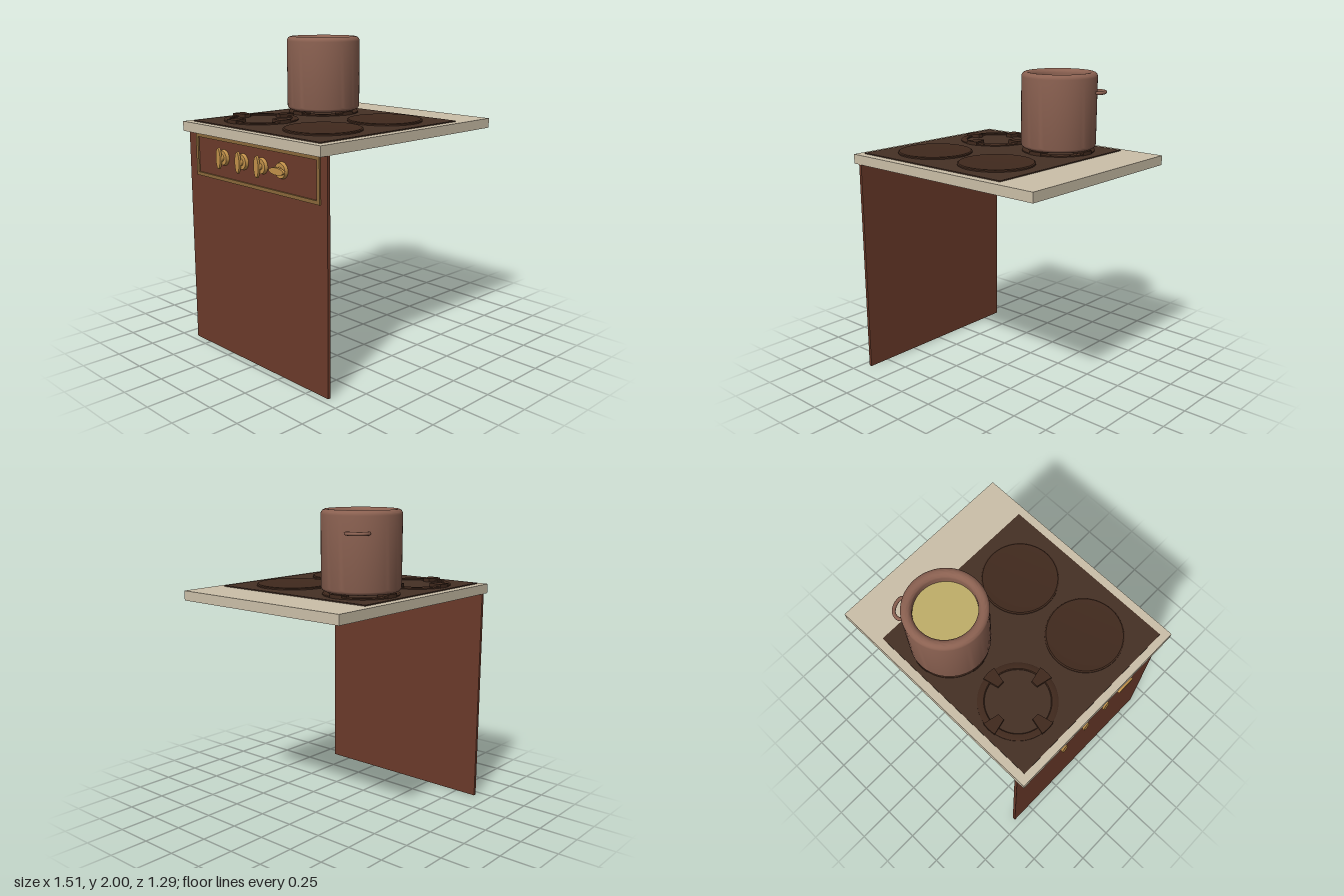
import * as THREE from 'three';
import { toCreasedNormals } from 'three/addons/utils/BufferGeometryUtils.js';

const mat = (color, side = THREE.FrontSide) => new THREE.MeshStandardMaterial({ color, side });
const WOOD = mat(0x6b3a2a), STONE = mat(0xcbbfa8), GLASS = mat(0x453025), IRON = mat(0x40291d);
const CLAY = mat(0x8b6151), SOUP = mat(0xbfae69), GOLD = mat(0xc2914a), TRIM = mat(0x8a683a);

function add(parent, name, geometry, material, x = 0, y = 0, z = 0) {
  const mesh = new THREE.Mesh(geometry, material);
  mesh.name = name;
  mesh.position.set(x, y, z);
  parent.add(mesh);
  return mesh;
}

function group(parent, name, x, y, z) {
  const g = new THREE.Group();
  g.name = name;
  g.position.set(x, y, z);
  parent.add(g);
  return g;
}

// Box given by its lower and upper corners
function box(parent, name, material, [x0, y0, z0], [x1, y1, z1]) {
  return add(parent, name, new THREE.BoxGeometry(x1 - x0, y1 - y0, z1 - z0), material,
    (x0 + x1) / 2, (y0 + y1) / 2, (z0 + z1) / 2);
}

function lathe(points, segments = 64) {
  const profile = points.map(([r, y]) => new THREE.Vector2(r, y));
  return toCreasedNormals(new THREE.LatheGeometry(profile, segments), 0.6);
}

// Gas ring: flat collar with four tapered pan supports
function addGasBurner(parent, x, z) {
  const g = group(parent, 'gasBurner', x, 1.488, z);
  add(g, 'burnerRing', lathe([[0.195, 0], [0.238, 0], [0.238, 0.008], [0.232, 0.012],
    [0.2, 0.012], [0.195, 0.008], [0.195, 0]]), IRON);
  const tab = new THREE.Shape();
  tab.moveTo(0.14, -0.022);
  tab.lineTo(0.238, -0.045);
  tab.quadraticCurveTo(0.246, 0, 0.238, 0.045);
  tab.lineTo(0.14, 0.022);
  tab.closePath();
  const geometry = new THREE.ExtrudeGeometry(tab, { depth: 0.024, bevelEnabled: false });
  geometry.rotateX(-Math.PI / 2);
  for (let i = 0; i < 4; i++) add(g, 'panSupport', geometry, IRON).rotation.y = i * Math.PI / 2;
}

// Solid electric plate with a slightly raised rim
function addHotplate(parent, x, z) {
  add(parent, 'hotplate', lathe([[0.24, 0], [0.24, 0.009], [0.232, 0.014],
    [0.19, 0.01], [0, 0.01]]), IRON, x, 1.488, z);
}

// Thick-walled pot with rounded edges, filling and one loop handle
function addPot(parent, x, z) {
  const g = group(parent, 'pot', x, 1.512, z);
  const points = [[0, 0], [0.215, 0]];
  const arc = (cx, cy, r, from, to) => {
    for (let i = 0; i <= 6; i++) {
      const a = from + (to - from) * i / 6;
      points.push([cx + r * Math.cos(a), cy + r * Math.sin(a)]);
    }
  };
  arc(0.217, 0.028, 0.028, -Math.PI / 2, 0);
  arc(0.215, 0.458, 0.03, 0, Math.PI / 2);
  arc(0.213, 0.458, 0.03, Math.PI / 2, Math.PI);
  points.push([0.183, 0.38]);
  add(g, 'potBody', lathe(points), CLAY);
  const filling = new THREE.CircleGeometry(0.186, 64);
  filling.rotateX(-Math.PI / 2);
  add(g, 'soup', filling, SOUP, 0, 0.42, 0);

  const handlePath = new THREE.CatmullRomCurve3([
    [0.15, -0.175], [0.18, -0.198], [0.22, -0.192], [0.25, -0.155], [0.26, -0.11], [0.25, -0.09], [0.215, -0.09],
  ].map(([px, pz]) => new THREE.Vector3(px, 0.361, pz)));
  add(g, 'potHandle', new THREE.TubeGeometry(handlePath, 32, 0.011, 10), CLAY);
}

// Control knob facing -x with a slim oval grip
function addKnob(parent, z, turn) {
  const g = group(parent, 'knob', -0.705, 1.288, z);
  const disc = (name, r0, r1, from, to) => {
    const geometry = new THREE.CylinderGeometry(r1, r0, to - from, 28);
    geometry.rotateZ(Math.PI / 2);
    return add(g, name, geometry, GOLD, -(from + to) / 2, 0, 0);
  };
  disc('knobBase', 0.05, 0.045, 0, 0.02);
  disc('knobStem', 0.022, 0.02, 0.02, 0.038);
  disc('knobGrip', 0.067, 0.064, 0.036, 0.05).scale.z = 0.33;
  g.rotation.x = turn;
}

export function createModel() {
  const model = new THREE.Group();
  model.name = 'cookingCounter';

  // Worktop and its single supporting side
  box(model, 'worktop', STONE, [-0.755, 1.42, -0.643], [0.755, 1.482, 0.643]);
  box(model, 'sidePanel', WOOD, [-0.705, 0, -0.646], [-0.685, 1.42, 0.644]);
  box(model, 'cooktop', GLASS, [-0.708, 1.48, -0.59], [0.47, 1.489, 0.59]);

  // Burners and pot
  addHotplate(model, -0.385, 0.27);
  addHotplate(model, 0.152, 0.27);
  addGasBurner(model, -0.385, -0.308);
  addGasBurner(model, 0.168, -0.314);
  addPot(model, 0.168, -0.314);

  // Framed control strip on the outer face of the side panel
  const trim = group(model, 'controlFrame', 0, 0, 0);
  const [z0, z1, y0, y1, w] = [-0.565, 0.59, 1.14, 1.412, 0.022];
  for (const y of [y0, y1 - w]) box(trim, 'frameRail', TRIM, [-0.715, y, z0], [-0.702, y + w, z1]);
  for (const z of [z0, z1 - w]) box(trim, 'frameStile', TRIM, [-0.715, y0 + w, z], [-0.702, y1 - w, z + w]);
  [-0.28, -0.09, 0.09, 0.27].forEach((z, i) => addKnob(model, z, i === 3 ? Math.PI / 2 : 0));

  return model;
}
